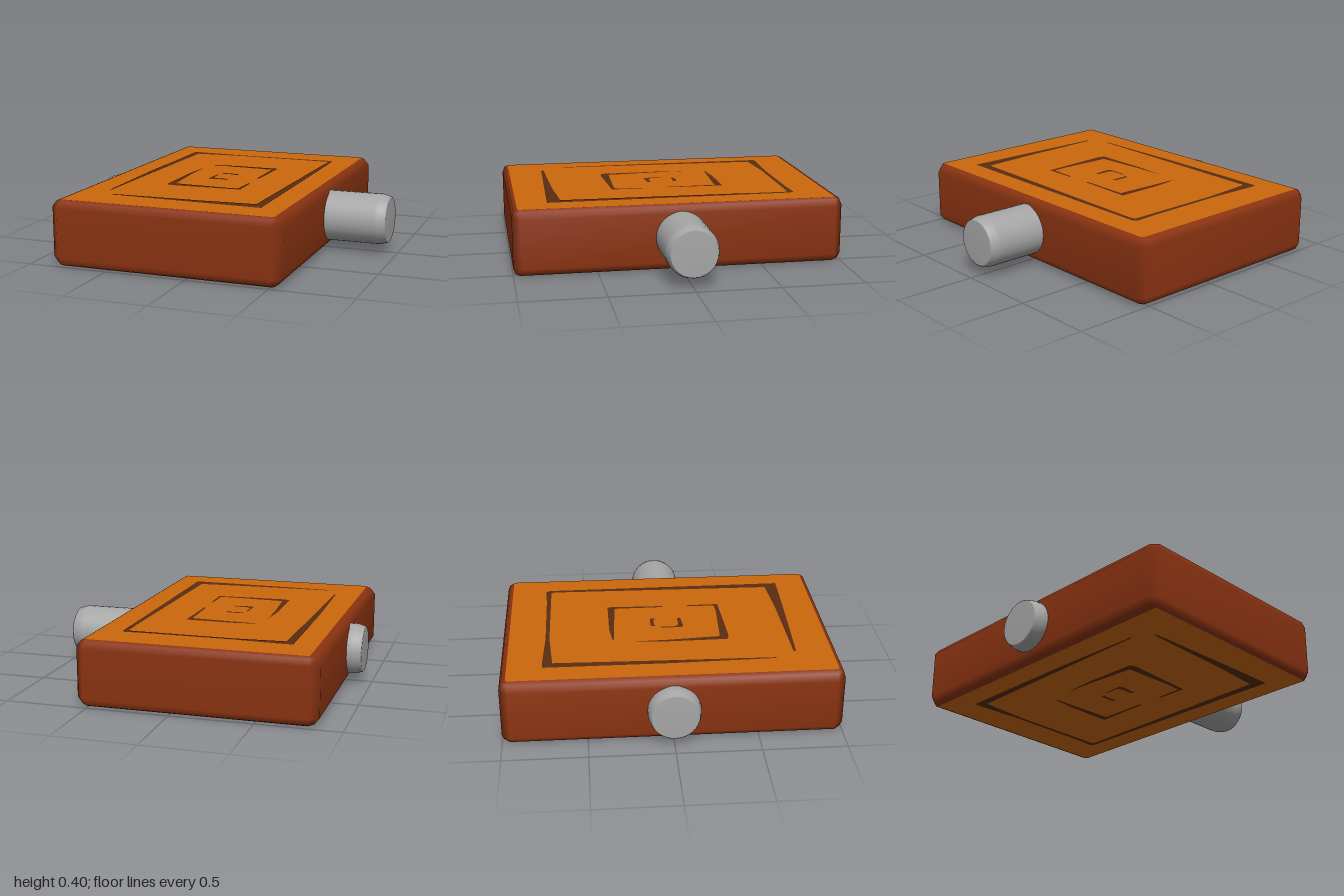
import * as THREE from 'three';

const mat = (name, color) => {
  const m = new THREE.MeshStandardMaterial({ color });
  m.name = name;
  return m;
};

// Rectangle with cut corners, running front, +x side, back, -x side: [x, z] points
function outline(x0, x1, z0, z1, c) {
  return [
    [x0 + c, z1], [x1 - c, z1], [x1, z1 - c], [x1, z0 + c],
    [x1 - c, z0], [x0 + c, z0], [x0, z0 + c], [x0, z1 - c],
  ];
}

// Flat horizontal face from [x, z] points, facing up or down
function face(points, y, up) {
  const shape = new THREE.Shape(points.map(([x, z]) => new THREE.Vector2(x, up ? -z : z)));
  const geo = new THREE.ShapeGeometry(shape);
  geo.rotateX(up ? -Math.PI / 2 : Math.PI / 2);
  geo.translate(0, y, 0);
  return geo;
}

// Smooth band lofted through outlines at rising heights
function loft(rings) {
  const pos = [], idx = [], n = rings[0].points.length;
  rings.forEach(({ y, points }) => points.forEach(([x, z]) => pos.push(x, y, z)));
  for (let r = 0; r < rings.length - 1; r++) {
    for (let j = 0; j < n; j++) {
      const a = r * n + j, b = r * n + (j + 1) % n;
      idx.push(a, b, b + n, a, b + n, a + n);
    }
  }
  const geo = new THREE.BufferGeometry();
  geo.setAttribute('position', new THREE.Float32BufferAttribute(pos, 3));
  geo.setIndex(idx);
  geo.computeVertexNormals();
  return geo;
}

// Carved strokes of the nested squares, as [x, z] points
const strokes = [
  [[-0.645, 0.62], [-0.66, 0], [-0.66, -0.75], [-0.62, -0.755], [-0.3, -0.738], [0.2, -0.738],
    [0.35, -0.745], [0.37, -0.72], [0.38, 0.78], [0, 0.77], [-0.57, 0.75], [-0.57, 0.735],
    [0, 0.72], [0.325, 0.7], [0.335, 0], [0.345, -0.69], [0.33, -0.71], [-0.3, -0.715],
    [-0.61, -0.695], [-0.625, 0], [-0.635, 0.62]],
  [[-0.34, -0.335], [-0.2, -0.35], [0.1, -0.35], [0.092, 0], [0.078, 0], [0.075, -0.305],
    [-0.2, -0.32], [-0.34, -0.325]],
  [[-0.375, -0.2], [-0.37, 0], [-0.345, 0.32], [0, 0.335], [0.075, 0.33], [0.08, 0.16],
    [0.092, 0.16], [0.095, 0.355], [0, 0.36], [-0.35, 0.375], [-0.385, 0.36], [-0.39, 0]],
  [[-0.185, -0.08], [-0.17, -0.092], [-0.08, -0.09], [-0.08, -0.05], [-0.1, -0.07],
    [-0.17, -0.07], [-0.18, -0.06]],
  [[-0.205, -0.03], [-0.195, -0.03], [-0.195, 0.06], [-0.17, 0.08], [-0.09, 0.08],
    [-0.08, 0.1], [-0.18, 0.11], [-0.21, 0.1]],
];

export function createModel() {
  const group = new THREE.Group();
  const brown = mat('red brown', 0x8a3311);
  const orange = mat('orange', 0xcc680d);
  const dark = mat('dark brown', 0x592c10);
  const grey = mat('grey', 0xa6a6a6);
  const add = (name, geo, material) => {
    const mesh = new THREE.Mesh(geo, material);
    mesh.name = name;
    group.add(mesh);
  };

  // Block sides with softened edges, mirrored top to bottom
  const H = 0.4;
  const cap = outline(-0.8, 0.52, -0.96, 0.965, 0.01);
  const lower = [
    { y: 0, points: cap },
    { y: 0.012, points: outline(-0.83, 0.54, -0.988, 0.988, 0.035) },
    { y: 0.05, points: outline(-0.86, 0.57, -1, 1, 0.05) },
  ];
  const upper = lower.map(({ y, points }) => ({ y: H - y, points })).reverse();
  add('blockSides', loft([...lower, ...upper]), brown);

  // Broad faces with carved strokes, top and bottom
  for (const up of [true, false]) {
    const side = up ? 'top' : 'bottom';
    add(side + 'Face', face(cap, up ? H : 0, up), orange);
    strokes.forEach((s, i) =>
      add(side + 'Stroke' + (i + 1), face(s, up ? H + 0.002 : -0.002, up), dark));
  }

  // Round shaft passing through the block
  const profile = [
    [0, -0.95], [0.135, -0.95], [0.142, -0.945], [0.155, -0.9], [0.156, -0.88],
    [0.156, 0.88], [0.155, 0.9], [0.142, 0.945], [0.135, 0.95], [0, 0.95],
  ].map(([r, y]) => new THREE.Vector2(r, y));
  const shaft = new THREE.LatheGeometry(profile, 32);
  shaft.rotateZ(-Math.PI / 2);
  shaft.translate(0, 0.205, 0);
  add('shaft', shaft, grey);

  return group;
}
